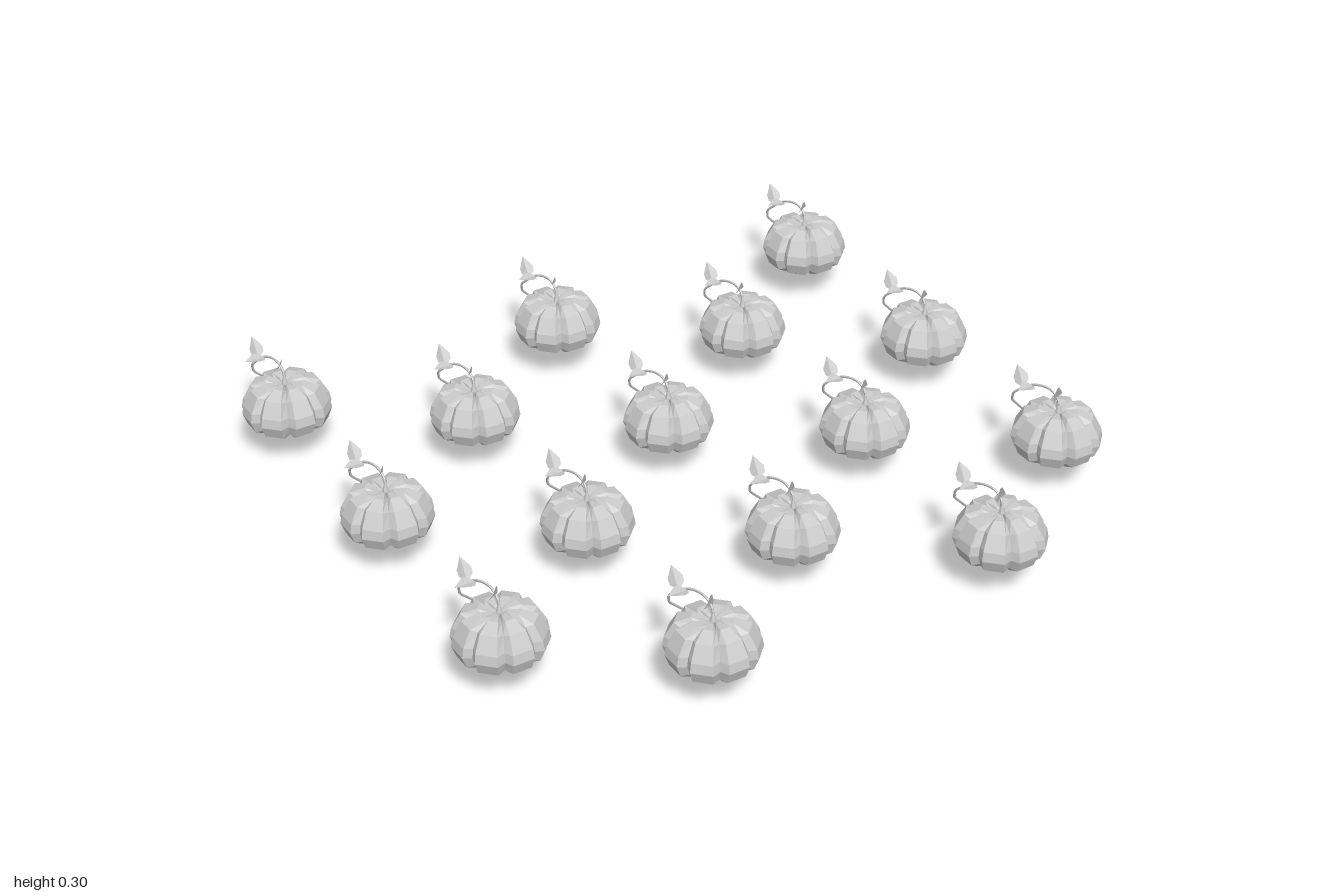
import * as THREE from 'three';

const skin = new THREE.MeshStandardMaterial({ color: 0xcccccc, flatShading: true });
const thin = new THREE.MeshStandardMaterial({ color: 0xcccccc, flatShading: true, side: THREE.DoubleSide });
const V = (x, y, z) => new THREE.Vector3(x, y, z);

function buildGeometry(positions, index) {
  const geo = new THREE.BufferGeometry();
  geo.setAttribute('position', new THREE.Float32BufferAttribute(positions, 3));
  geo.setIndex(index);
  geo.computeVertexNormals();
  return geo;
}

// Lobed body: rings of [radius, height, groove radius factor, groove drop], bottom to top
function pumpkinGeometry() {
  const lobes = 8;
  const rings = [
    [0.001, 0.084, 1, 0], [0.066, 0.077, 0.86, -0.006], [0.113, 0.104, 0.86, -0.004],
    [0.126, 0.138, 0.86, 0], [0.121, 0.165, 0.86, 0], [0.097, 0.209, 0.86, 0.006],
    [0.055, 0.224, 0.82, 0.010], [0.022, 0.221, 0.7, 0.010], [0.001, 0.212, 1, 0],
  ];
  const offsets = [-0.6, 0.6, 1]; // two lobe edges, then the groove
  const n = lobes * offsets.length;
  const pos = [], index = [];
  for (const [r, y, pinch, drop] of rings) {
    for (let k = 0; k < lobes; k++) {
      for (const o of offsets) {
        const a = ((k + o / 2) / lobes) * Math.PI * 2;
        const groove = o === 1;
        const rr = groove ? r * pinch : r;
        pos.push(Math.sin(a) * rr, groove ? y - drop : y, Math.cos(a) * rr);
      }
    }
  }
  for (let i = 0; i < rings.length - 1; i++) {
    for (let j = 0; j < n; j++) {
      const a = i * n + j, b = i * n + (j + 1) % n;
      index.push(a, b, b + n, a, b + n, a + n);
    }
  }
  return buildGeometry(pos, index);
}

// Pointed leaf folded along its midrib; side is the half-width direction
function leafGeometry(base, tip, side) {
  const axis = tip.clone().sub(base);
  const fold = axis.clone().cross(side).normalize().multiplyScalar(0.006);
  const at = (t, s) => base.clone().addScaledVector(axis, t).addScaledVector(side, s)
    .addScaledVector(fold, Math.abs(s));
  const points = [at(0, 0), at(0.25, 0.85), at(0.5, 0.9), at(1, 0), at(0.5, -0.9), at(0.25, -0.85), at(0.45, 0)];
  const index = [];
  for (let i = 0; i < 6; i++) index.push(6, i, (i + 1) % 6);
  return buildGeometry(points.flatMap(p => p.toArray()), index);
}

// Vine: curved stem, then a long straight run down to the ground
function vineGeometry() {
  const curve = new THREE.CatmullRomCurve3([
    V(0, 0.212, 0), V(0, 0.25, -0.004), V(-0.003, 0.268, -0.025), V(-0.006, 0.267, -0.06),
    V(-0.013, 0.25, -0.105), V(-0.02, 0.222, -0.14), V(-0.027, 0.198, -0.166),
  ]);
  const path = new THREE.CurvePath();
  path.add(curve);
  path.add(new THREE.LineCurve3(V(-0.027, 0.198, -0.166), V(-0.018, 0.165, -0.178)));
  path.add(new THREE.LineCurve3(V(-0.018, 0.165, -0.178), V(0.137, 0.002, -0.247)));
  return new THREE.TubeGeometry(path, 40, 0.0036, 5, false);
}

export function createModel() {
  const model = new THREE.Group();
  model.name = 'pumpkinPatch';

  const stemBase = new THREE.CylinderGeometry(0.004, 0.011, 0.024, 6).translate(0, 0.223, 0);
  const parts = [
    ['pumpkinBody', pumpkinGeometry(), skin],
    ['stemBase', stemBase, skin],
    ['vine', vineGeometry(), thin],
    ['topLeaf', leafGeometry(V(-0.012, 0.264, -0.008), V(-0.02, 0.301, 0.034), V(0.02, 0.008, -0.014)), thin],
    ['sideLeaf', leafGeometry(V(-0.01, 0.25, -0.1), V(-0.077, 0.264, -0.085), V(0.004, -0.004, 0.02)), thin],
    ['backLeaf', leafGeometry(V(-0.018, 0.23, -0.133), V(-0.018, 0.287, -0.168), V(0.017, 0.008, 0.012)), thin],
  ];

  // Staggered columns: [x, z of each plant]
  const outer = [-0.717, -0.092, 0.53], inner = [-0.406, 0.219, 0.836];
  const columns = [[-0.877, outer], [-0.449, inner], [-0.011, outer], [0.433, inner], [0.857, outer]];
  for (const [x, rows] of columns) {
    for (const z of rows) {
      const plant = new THREE.Group();
      plant.name = 'pumpkinPlant';
      for (const [name, geometry, material] of parts) {
        const mesh = new THREE.Mesh(geometry, material);
        mesh.name = name;
        plant.add(mesh);
      }
      plant.position.set(x, 0, z);
      model.add(plant);
    }
  }
  return model;
}
